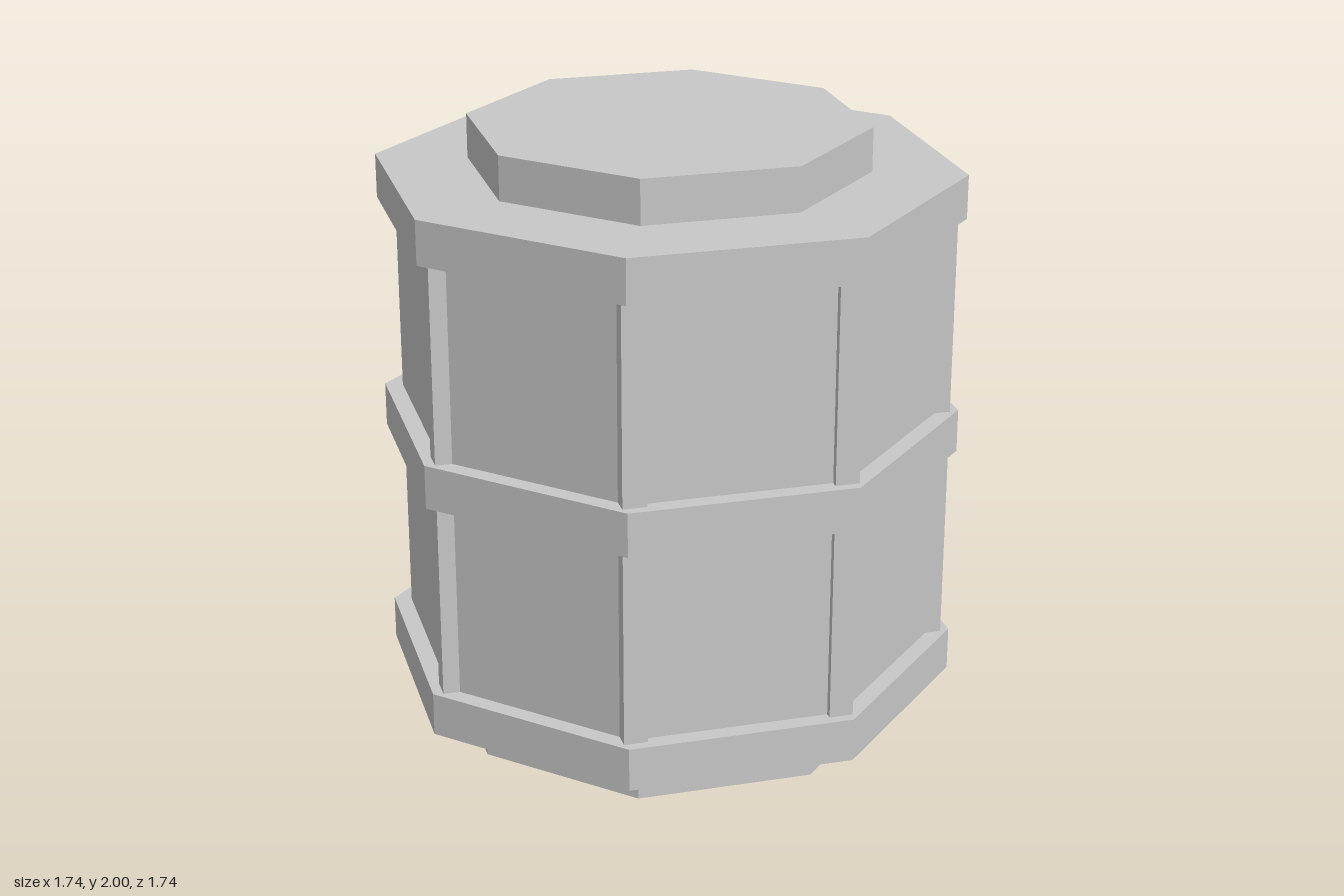
import * as THREE from 'three';

const U = 1 / 7; // height of each band and cap

export function createModel() {
  const group = new THREE.Group();
  const grey = new THREE.MeshStandardMaterial({ color: 0xc8c8c8 });
  grey.name = 'light grey';
  grey.flatShading = true;

  function add(name, geometry, x, y, z) {
    const mesh = new THREE.Mesh(geometry, grey);
    mesh.name = name;
    mesh.position.set(x, y, z);
    group.add(mesh);
  }

  // Upright octagonal slab, given the distance from its axis to a flat side
  function octagon(name, apothem, y0, y1) {
    const r = apothem / Math.cos(Math.PI / 8);
    const geometry = new THREE.CylinderGeometry(r, r, y1 - y0, 8, 1, false, Math.PI / 8);
    add(name, geometry, 0, (y0 + y1) / 2, 0);
  }

  // Foot, barrel body and lid
  octagon('foot', 0.686, 0, U);
  octagon('body', 0.815, 2 * U, 12 * U);
  octagon('lid', 0.593, 13 * U, 2);

  // Three protruding bands
  octagon('lowerBand', 0.87, U, 2 * U);
  octagon('middleBand', 0.87, 6.5 * U, 7.5 * U);
  octagon('upperBand', 0.87, 12 * U, 13 * U);

  // Square posts on the four front corners
  for (const side of [-1, 1]) {
    for (const [x, z] of [[0.33, 0.8], [0.8, 0.33]]) {
      add('cornerPost', new THREE.BoxGeometry(0.076, 10 * U, 0.076), side * x, 7 * U, z);
    }
  }
  return group;
}
